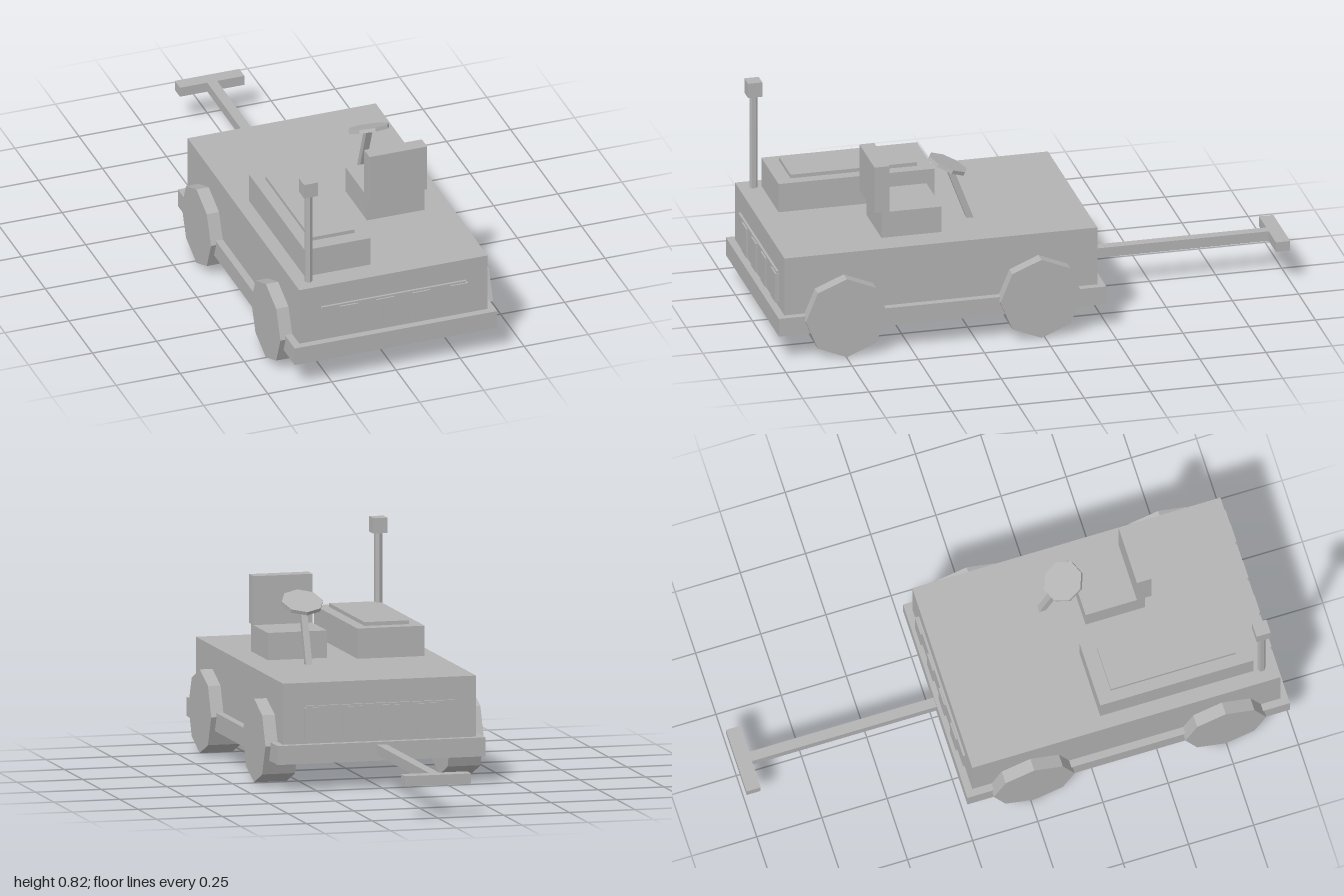
import * as THREE from 'three';

export function createModel() {
  const model = new THREE.Group();
  const grey = new THREE.MeshStandardMaterial({ color: 0xb3b3b3, flatShading: true });
  grey.name = 'plain grey';

  const add = (name, geometry, x, y, z) => {
    const mesh = new THREE.Mesh(geometry, grey);
    mesh.name = name;
    mesh.position.set(x, y, z);
    model.add(mesh);
    return mesh;
  };
  // box given by its extents along each axis
  const box = (name, [x0, x1], [y0, y1], [z0, z1]) =>
    add(name, new THREE.BoxGeometry(x1 - x0, y1 - y0, z1 - z0),
      (x0 + x1) / 2, (y0 + y1) / 2, (z0 + z1) / 2);

  // chassis and body
  box('chassis', [-0.395, 0.395], [0.10, 0.17], [-0.237, 1]);
  box('body', [-0.367, 0.367], [0.17, 0.396], [-0.21, 0.972]);

  // eight-sided wheels
  const wheelGeometry = new THREE.CylinderGeometry(0.155, 0.155, 0.125, 8).rotateZ(Math.PI / 2);
  for (const x of [-0.3525, 0.3525])
    for (const z of [0.748, 0.013]) add('wheel', wheelGeometry, x, 0.155, z);

  // grilles at both ends: a panel with four raised bars
  for (const [end, face, dir] of [['front', 0.972, 1], ['rear', -0.21, -1]]) {
    const span = (depth) => [face, face + dir * depth].sort((a, b) => a - b);
    box(end + 'Grille', [-0.283, 0.281], [0.20, 0.311], span(0.009));
    for (const x of [-0.177, -0.036, 0.104, 0.252])
      box(end + 'GrilleBar', [x - 0.035, x + 0.035], [0.19, 0.304], span(0.015));
  }

  // engine cover with raised lid
  box('engineCover', [-0.314, -0.058], [0.396, 0.508], [0.298, 0.886]);
  box('engineLid', [-0.27, -0.10], [0.508, 0.522], [0.352, 0.83]);

  // driver seat
  box('seatCushion', [0.042, 0.267], [0.396, 0.497], [0.353, 0.58]);
  box('seatBack', [0.042, 0.267], [0.497, 0.678], [0.55, 0.606]);

  // steering column and wheel
  const column = add('steeringColumn', new THREE.BoxGeometry(0.024, 0.24, 0.024), 0.151, 0.495, 0.256);
  column.rotation.x = 0.36;
  const steering = add('steeringWheel', new THREE.CylinderGeometry(0.078, 0.078, 0.014, 8), 0.151, 0.613, 0.302);
  steering.rotation.x = -0.42;

  // beacon on its pole
  add('beaconPole', new THREE.CylinderGeometry(0.0155, 0.0155, 0.37, 6), -0.311, 0.58, 0.917);
  box('beacon', [-0.338, -0.284], [0.763, 0.82], [0.89, 0.944]);

  // tow bar with cross handle
  box('towBar', [-0.019, 0.019], [0.122, 0.16], [-0.947, -0.237]);
  box('towHandle', [-0.126, 0.126], [0.122, 0.16], [-1, -0.946]);

  return model;
}
